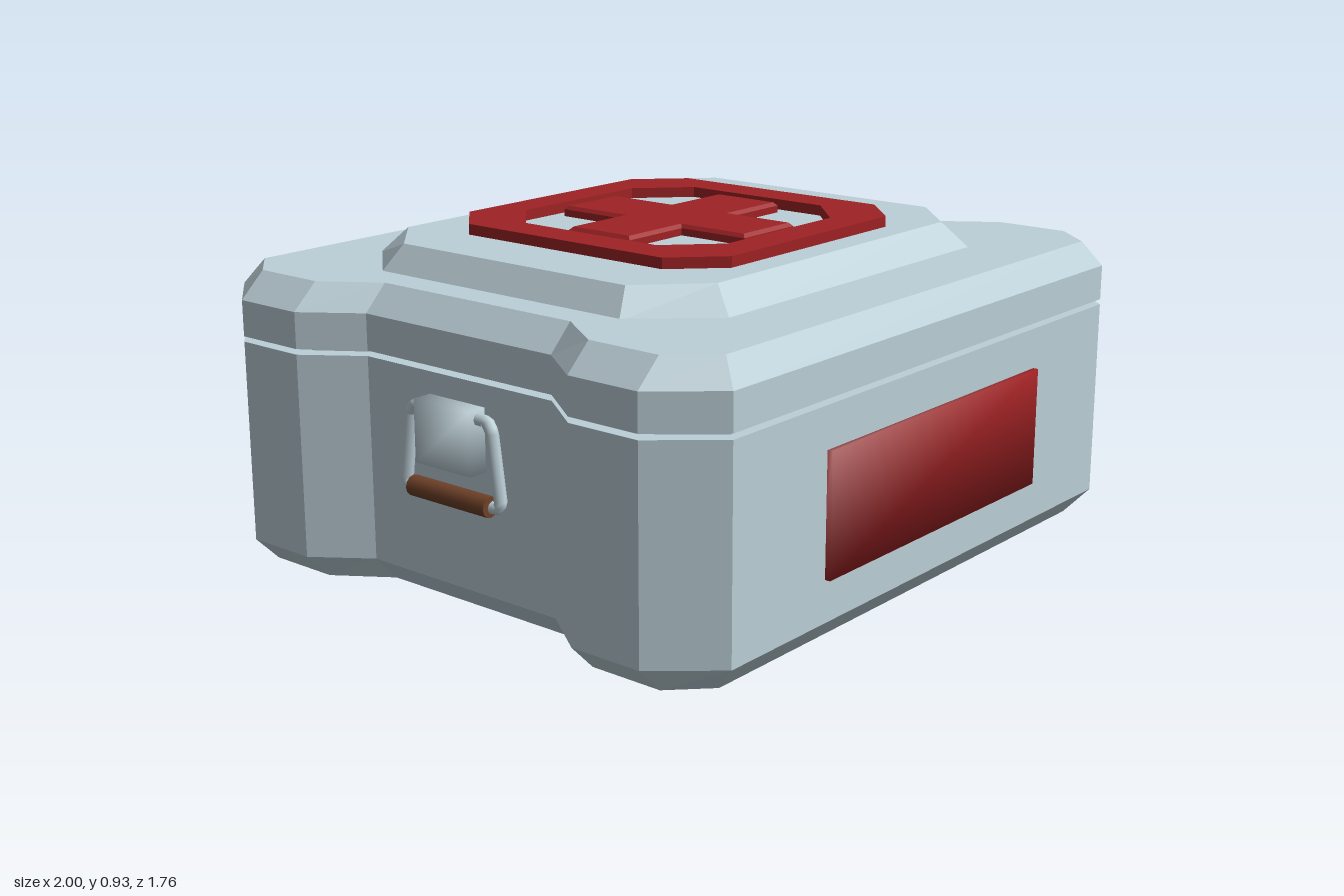
import * as THREE from 'three';

const mat = (name, color) => {
  const m = new THREE.MeshStandardMaterial({ color });
  m.name = name;
  return m;
};

// Notched, corner-cut outline of the case, mirrored from one quadrant
function caseOutline(xNotch, xSide, xCorner, zEnd) {
  const q = [[xNotch, 0.33], [xSide, 0.485], [xSide, 0.7], [xCorner, zEnd]];
  const r = [...q].reverse();
  return [...q, ...r.map(([x, z]) => [-x, z]), ...q.map(([x, z]) => [-x, -z]), ...r.map(([x, z]) => [x, -z])];
}

// Rectangle with cut corners
function octagon(x, z, xCut, zCut) {
  return [[x, zCut], [xCut, z], [-xCut, z], [-x, zCut], [-x, -zCut], [-xCut, -z], [xCut, -z], [x, -zCut]];
}

// Faceted solid through stacked outlines, capped at both ends
function stack(rings) {
  const pos = [];
  const tri = (...pts) => pts.forEach((p) => pos.push(...p));
  const loops = rings.map(([y, outline]) => outline.map(([x, z]) => [x, y, z]));
  const n = loops[0].length;
  const last = loops.length - 1;
  for (let i = 0; i < n; i++) {
    const j = (i + 1) % n;
    for (let k = 0; k < last; k++) {
      const lo = loops[k], hi = loops[k + 1];
      tri(lo[i], hi[i], lo[j]);
      tri(lo[j], hi[i], hi[j]);
    }
    tri([0, rings[0][0], 0], loops[0][i], loops[0][j]);
    tri([0, rings[last][0], 0], loops[last][j], loops[last][i]);
  }
  const g = new THREE.BufferGeometry();
  g.setAttribute('position', new THREE.Float32BufferAttribute(pos, 3));
  g.computeVertexNormals();
  return g;
}

// Box with soft shading: normals point out through the corners
function softBox(w, h, d) {
  const g = new THREE.BoxGeometry(w, h, d);
  const p = g.attributes.position, nm = g.attributes.normal;
  const v = new THREE.Vector3();
  for (let i = 0; i < p.count; i++) {
    v.set(Math.sign(p.getX(i)), Math.sign(p.getY(i)), Math.sign(p.getZ(i))).normalize();
    nm.setXYZ(i, v.x, v.y, v.z);
  }
  return g;
}

const toPoints = (pts) => pts.map(([x, y]) => new THREE.Vector2(x, y));

export function createModel() {
  const root = new THREE.Group();
  root.name = 'medicalCase';
  const shell = mat('paleBlueGrey', 0xbdd0d8);
  const red = mat('darkRed', 0x9e2224);
  const brown = mat('brown', 0x6e4128);

  const add = (parent, name, geometry, material, x = 0, y = 0, z = 0) => {
    const m = new THREE.Mesh(geometry, material);
    m.name = name;
    m.position.set(x, y, z);
    parent.add(m);
    return m;
  };

  // Case: chamfered base, recessed seam, chamfered lid
  const full = caseOutline(0.89, 1, 0.86, 0.865);
  const seam = caseOutline(0.835, 0.94, 0.83, 0.835);
  const base = caseOutline(0.82, 0.925, 0.825, 0.8);
  const top = caseOutline(0.82, 0.925, 0.825, 0.815);
  add(root, 'caseBody', stack([[0, base], [0.075, full], [0.64, full], [0.64, seam]]), shell);
  add(root, 'seam', stack([[0.63, seam], [0.665, seam]]), shell);
  add(root, 'lid', stack([[0.655, seam], [0.655, full], [0.755, full], [0.825, top]]), shell);

  // Raised platform on the lid
  const zMid = -0.018;
  add(root, 'lidPlatform', stack([
    [0.82, octagon(0.73, 0.627, 0.55, 0.426)],
    [0.895, octagon(0.672, 0.555, 0.508, 0.396)],
  ]), shell, 0, 0, zMid);

  // Eight-sided frame
  const frame = new THREE.Shape(toPoints(octagon(0.475, 0.473, 0.348, 0.347)));
  frame.holes.push(new THREE.Path(toPoints(octagon(0.365, 0.366, 0.23, 0.235).reverse())));
  const frameGeo = new THREE.ExtrudeGeometry(frame, { depth: 0.035, bevelEnabled: false });
  frameGeo.rotateX(-Math.PI / 2);
  add(root, 'frame', frameGeo, red, 0, 0.89, zMid);

  // Cross with bevelled edges
  const a = 0.11, b = 0.328;
  const cross = new THREE.Shape(toPoints([
    [b, -a], [b, a], [a, a], [a, b], [-a, b], [-a, a],
    [-b, a], [-b, -a], [-a, -a], [-a, -b], [a, -b], [a, -a],
  ]));
  const crossGeo = new THREE.ExtrudeGeometry(cross, {
    depth: 0.025, bevelSize: 0.01, bevelOffset: -0.01, bevelThickness: 0.01, bevelSegments: 1,
  });
  crossGeo.rotateX(-Math.PI / 2);
  add(root, 'cross', crossGeo, red, 0, 0.89, zMid);

  // Front and back panels
  for (const [name, s] of [['frontPanel', 1], ['backPanel', -1]]) {
    add(root, name, softBox(0.98, 0.335, 0.03), red, 0, 0.358, s * 0.865);
  }

  // Side handles: mount, two bent arms and a grip
  for (const [name, turn, gripMat] of [['leftHandle', 0, shell], ['rightHandle', Math.PI, brown]]) {
    const handle = new THREE.Group();
    handle.name = name;
    handle.rotation.y = turn;
    root.add(handle);
    add(handle, 'mount', softBox(0.07, 0.17, 0.196), shell, 0.912, 0.495, 0);
    for (const s of [1, -1]) {
      const path = new THREE.CurvePath();
      const pts = [[0.555, 0.09], [0.553, 0.13], [0.53, 0.145], [0.35, 0.17], [0.332, 0.162], [0.33, 0.12]]
        .map(([y, z]) => new THREE.Vector3(0.912, y, s * z));
      for (let i = 0; i < pts.length - 1; i++) path.add(new THREE.LineCurve3(pts[i], pts[i + 1]));
      add(handle, 'arm', new THREE.TubeGeometry(path, 30, 0.017, 8, false), shell);
    }
    const grip = add(handle, 'grip', new THREE.CylinderGeometry(0.028, 0.028, 0.28, 12), gripMat, 0.918, 0.333, 0);
    grip.rotation.x = Math.PI / 2;
  }
  return root;
}
